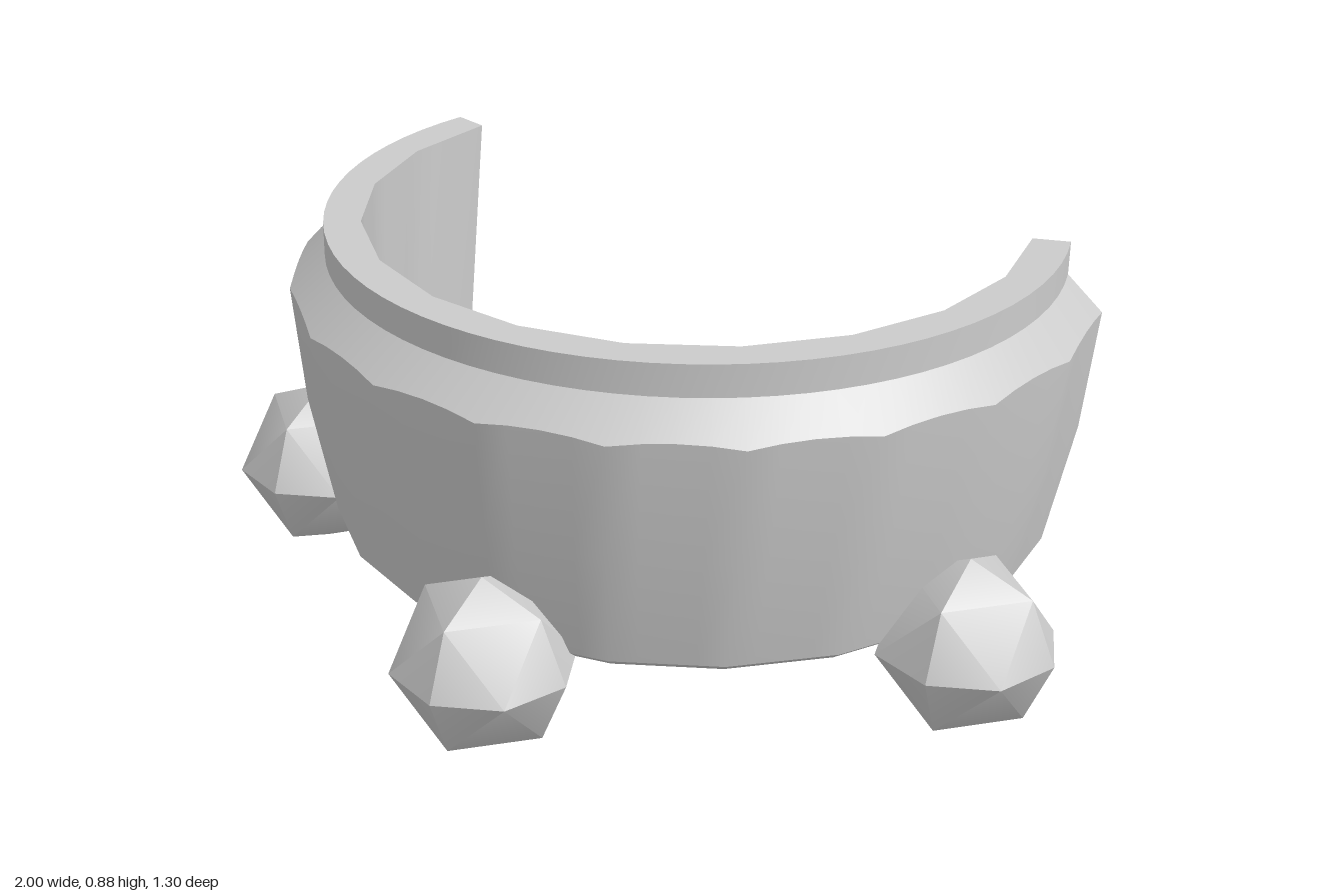
import * as THREE from 'three';
import { toCreasedNormals } from 'three/addons/utils/BufferGeometryUtils.js';

const RAD = Math.PI / 180;
const FACETS = 12;      // coarse sides around the band
const STEPS = 4;        // fine steps within each coarse side
const CENTRE_Z = -0.41; // axis of the band

// Band cross-section: radius, height, and whether that line is faceted or round
const PROFILE = [
  [0.775, 0.195, true], [0.80, 0.215, true], [0.853, 0.48, true], [0.878, 0.735, true],
  [0.80, 0.81, false], [0.80, 0.88, false],
  [0.72, 0.88, true], [0.715, 0.2, true],
];

// The ends lean: the arc reaches further round at the top than at the bottom
const halfArc = (y) => (90 + 11.5 + 5.7 * (y - 0.2) / 0.68) * RAD;

function bandPoint(k, [radius, height, faceted]) {
  const half = halfArc(height);
  const angle = half * (2 * k / (FACETS * STEPS) - 1);
  let r = radius, y = height;
  if (faceted) {
    const side = 2 * half / FACETS;
    const offset = ((k % STEPS) / STEPS - 0.5) * side;
    r = radius * Math.cos(side / 2) / Math.cos(offset);
    if (height === 0.735) y += radius - r; // shoulder rises along each flat
  }
  return [r * Math.sin(angle), y, CENTRE_Z + r * Math.cos(angle)];
}

function bandGeometry() {
  const n = PROFILE.length, count = FACETS * STEPS;
  const positions = [], index = [];
  for (let k = 0; k <= count; k++) {
    for (const p of PROFILE) positions.push(...bandPoint(k, p));
  }
  for (let k = 0; k < count; k++) {
    for (let j = 0; j < n; j++) {
      const a = k * n + j, d = k * n + (j + 1) % n;
      index.push(a, a + n, d + n, a, d + n, d);
    }
  }
  // End caps
  const outline = PROFILE.map(([r, y]) => new THREE.Vector2(r, y));
  const last = count * n;
  for (const [a, b, c] of THREE.ShapeUtils.triangulateShape(outline, [])) {
    index.push(a, b, c, last + a, last + c, last + b);
  }
  const geometry = new THREE.BufferGeometry();
  geometry.setAttribute('position', new THREE.Float32BufferAttribute(positions, 3));
  geometry.setIndex(index);
  return toCreasedNormals(geometry, 25 * RAD);
}

// Faceted ball whose inward tip is blunted and lowered
function footGeometry() {
  const radius = 0.195;
  const geometry = new THREE.OctahedronGeometry(radius, 1);
  const pos = geometry.attributes.position;
  for (let i = 0; i < pos.count; i++) {
    if (pos.getZ(i) < -0.9 * radius) {
      pos.setZ(i, -0.172);
      pos.setY(i, -0.04);
    }
  }
  return toCreasedNormals(geometry, 30 * RAD);
}

export function createModel() {
  const group = new THREE.Group();
  const material = new THREE.MeshStandardMaterial({ color: 0xcccccc });

  const band = new THREE.Mesh(bandGeometry(), material);
  band.name = 'band';
  group.add(band);

  // Three feet, each facing outwards
  const foot = footGeometry();
  const feet = [
    ['frontFoot', 0, 0.455, 0],
    ['leftFoot', 0.805, -0.11, 90],
    ['rightFoot', -0.805, -0.11, -90],
  ];
  for (const [name, x, z, turn] of feet) {
    const mesh = new THREE.Mesh(foot, material);
    mesh.name = name;
    mesh.position.set(x, 0.195, z);
    mesh.rotation.y = turn * RAD;
    group.add(mesh);
  }
  return group;
}
